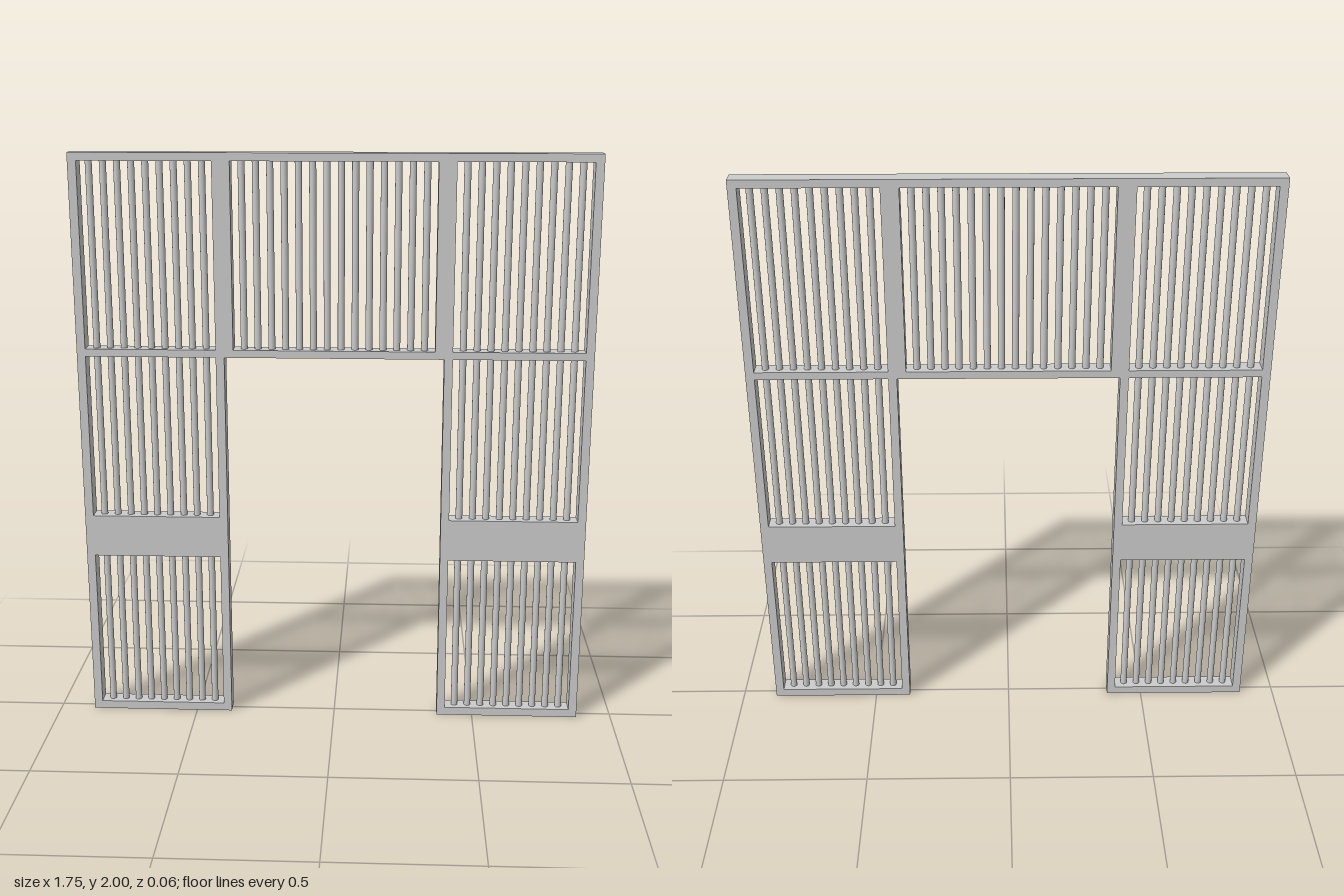
import * as THREE from 'three';

const DEPTH = 0.06;
const OUTER = 0.877;   // half width of the whole screen
const DOOR = 0.373;    // half width of the doorway
const LINTEL = 1.317;  // height of the doorway
const BAR_RADIUS = 0.0117;

// Barred openings: [name, x0, x1, y0, y1, bar count]
function getOpenings() {
  const rows = [['lower', 0.029, 0.596], ['middle', 0.744, LINTEL], ['upper', 1.343, 1.973]];
  const list = [['centreBars', -0.342, 0.342, 1.343, 1.973, 14]];
  for (const [row, y0, y1] of rows) {
    list.push([row + 'LeftBars', 0.402, 0.848, y0, y1, 9]);
    list.push([row + 'RightBars', -0.848, -0.402, y0, y1, 9]);
  }
  return list;
}

export function createModel() {
  const group = new THREE.Group();
  group.name = 'barredDoorwayScreen';
  const material = new THREE.MeshStandardMaterial({ color: 0xcccccc });
  const openings = getOpenings();

  // Frame: one slab around the doorway, pierced by the openings
  const outline = new THREE.Shape([
    [-OUTER, 0], [-DOOR, 0], [-DOOR, LINTEL], [DOOR, LINTEL],
    [DOOR, 0], [OUTER, 0], [OUTER, 2], [-OUTER, 2],
  ].map(([x, y]) => new THREE.Vector2(x, y)));
  for (const [, x0, x1, y0, y1] of openings) {
    outline.holes.push(new THREE.Path([
      new THREE.Vector2(x0, y0), new THREE.Vector2(x0, y1),
      new THREE.Vector2(x1, y1), new THREE.Vector2(x1, y0),
    ]));
  }
  const frameGeometry = new THREE.ExtrudeGeometry(outline, { depth: DEPTH, bevelEnabled: false });
  frameGeometry.translate(0, 0, -DEPTH / 2);
  const frame = new THREE.Mesh(frameGeometry, material);
  frame.name = 'frame';
  group.add(frame);

  // Round bars, spaced with equal gaps across each opening
  for (const [name, x0, x1, y0, y1, count] of openings) {
    const bars = new THREE.Group();
    bars.name = name;
    const geometry = new THREE.CylinderGeometry(BAR_RADIUS, BAR_RADIUS, y1 - y0, 12, 1, true);
    const gap = (x1 - x0 - count * 2 * BAR_RADIUS) / (count + 1);
    for (let i = 0; i < count; i++) {
      const bar = new THREE.Mesh(geometry, material);
      bar.name = 'bar';
      bar.position.set(x0 + (i + 1) * gap + (2 * i + 1) * BAR_RADIUS, (y0 + y1) / 2, 0);
      bars.add(bar);
    }
    group.add(bars);
  }
  return group;
}
